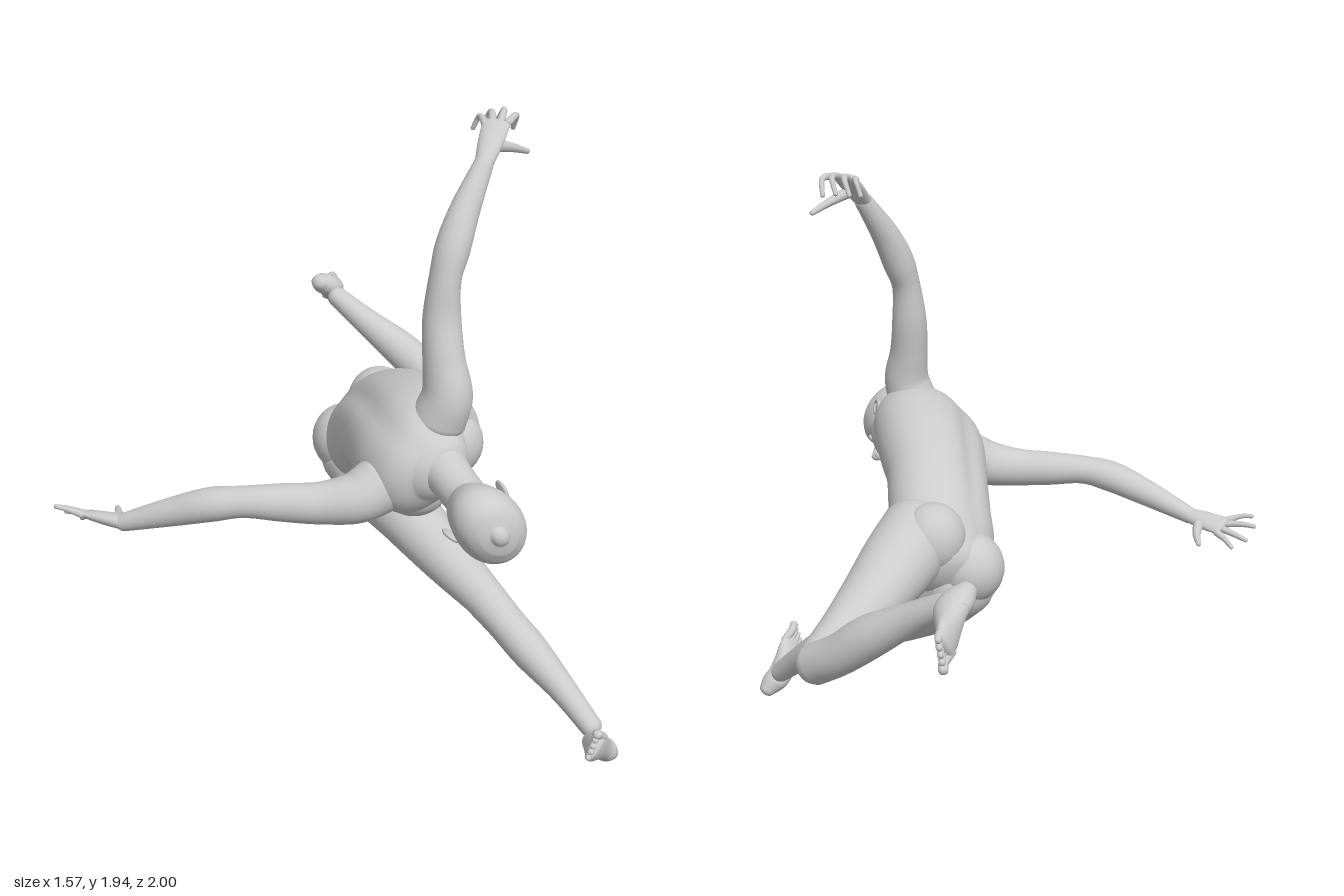
import * as THREE from 'three';

const mat = new THREE.MeshStandardMaterial({ color: 0xcccccc, roughness: 0.8 });
const V = (p) => new THREE.Vector3(...p);
const lerp = (a, b, t) => a.map((v, i) => v + (b[i] - v) * t);
const bump = (x, c, s) => Math.exp(-(((x - c) / s) ** 2));

// Smooth body through oval sections [x, y, z, halfWidth, halfDepth], rounded at both ends.
// across = width direction; shape(u, angle) scales the radius (angle -PI/2 front, PI/2 back).
function loft(name, sections, across, { seg = 28, steps = 8, cap = 0.7, shape = () => 1 } = {}) {
  const path = new THREE.CatmullRomCurve3(sections.map((s) => V(s)));
  const size = new THREE.CatmullRomCurve3(
    sections.map((s) => new THREE.Vector3(s[3], s[4] ?? s[3], 0)), false, 'catmullrom', 0.5);
  const n = (sections.length - 1) * steps;
  const rings = [];
  const capAngles = [0.05, 0.35, 0.7, 1.1];
  capAngles.forEach((f) => rings.push([0, -Math.cos(f), Math.sin(f)]));
  for (let i = 0; i <= n; i++) rings.push([i / n, 0, 1]);
  capAngles.slice().reverse().forEach((f) => rings.push([1, Math.cos(f), Math.sin(f)]));
  const pos = [], index = [];
  rings.forEach(([u, off, k], i) => {
    const c = path.getPoint(u), r = size.getPoint(u), T = path.getTangent(u);
    const W = V(across).addScaledVector(T, -V(across).dot(T)).normalize();
    const N = T.clone().cross(W);
    c.addScaledVector(T, off * cap * Math.min(r.x, r.y));
    for (let j = 0; j < seg; j++) {
      const a = (j / seg) * 2 * Math.PI - Math.PI, s = k * shape(u, a);
      const p = c.clone().addScaledVector(W, Math.cos(a) * r.x * s).addScaledVector(N, Math.sin(a) * r.y * s);
      pos.push(p.x, p.y, p.z);
      if (i === 0) continue;
      const j2 = (j + 1) % seg, A = (i - 1) * seg, B = i * seg;
      index.push(A + j, A + j2, B + j2, A + j, B + j2, B + j);
    }
  });
  // close the two tips
  const last = (rings.length - 1) * seg;
  for (let j = 1; j < seg - 1; j++) index.push(0, j + 1, j, last, last + j, last + j + 1);
  const g = new THREE.BufferGeometry();
  g.setAttribute('position', new THREE.Float32BufferAttribute(pos, 3));
  g.setIndex(index);
  g.computeVertexNormals();
  const m = new THREE.Mesh(g, mat);
  m.name = name;
  return m;
}

function blob(name, p, scale) {
  const m = new THREE.Mesh(new THREE.SphereGeometry(1, 28, 18), mat);
  m.name = name;
  m.position.set(...p);
  m.scale.set(...scale);
  return m;
}

// Group whose local y is up, z is forward and x is left
function framed(name, origin, up, forward) {
  const Z = V(forward).normalize();
  const X = V(up).cross(Z).normalize();
  const g = new THREE.Group();
  g.name = name;
  g.applyMatrix4(new THREE.Matrix4().makeBasis(X, Z.clone().cross(X), Z).setPosition(...origin));
  return g;
}

function foot(name, heel, up, forward, big) {
  const g = framed(name, heel, up, forward);
  g.add(loft('footBody', [[0, 0.04, 0.015, 0.026, 0.03], [0, 0.047, 0.045, 0.036, 0.045],
    [0, 0.057, 0.08, 0.036, 0.052], [0, 0.045, 0.13, 0.04, 0.04],
    [0, 0.028, 0.18, 0.049, 0.026], [0, 0.02, 0.215, 0.046, 0.018]], [1, 0, 0]));
  for (let i = 0; i < 5; i++) {
    const x = big * (0.036 - i * 0.0185), r = i ? 0.0095 : 0.014, end = 0.268 - i * 0.009;
    g.add(loft('toe', [[x, 0.02, 0.2, r], [x, 0.025, end - 0.025, r], [x, 0.015, end, r]],
      [1, 0, 0], { seg: 10, steps: 4 }));
  }
  return g;
}

// fingers: [middle joint, tip] from index to little; thumb: three joints
function hand(name, wrist, indexKnuckle, littleKnuckle, fingers, thumb) {
  const g = new THREE.Group();
  g.name = name;
  const across = indexKnuckle.map((v, i) => v - littleKnuckle[i]);
  const mid = lerp(indexKnuckle, littleKnuckle, 0.5);
  g.add(loft('palm', [[...wrist, 0.027, 0.022], [...lerp(wrist, mid, 0.5), 0.036, 0.02], [...mid, 0.04, 0.014]], across));
  fingers.forEach(([m, t], i) => {
    const k = lerp(indexKnuckle, littleKnuckle, i / 3), r = i === 3 ? 0.008 : 0.0095;
    g.add(loft('finger', [[...k, 0.012], [...m, r], [...t, 0.007]], across, { seg: 10, steps: 6 }));
  });
  g.add(loft('thumb', [[...thumb[0], 0.018], [...thumb[1], 0.013], [...thumb[2], 0.008]], [0.1, 0.2, 1], { seg: 12 }));
  return g;
}

function head() {
  const g = framed('head', [0.25, 0.975, 0.868], [0.02, 0.03, 1], [0.6, -0.78, 0.03]);
  // skull with eye sockets, brow and cheek hollows
  const shape = (u, a) => {
    const f = Math.abs(a + Math.PI / 2);
    return 1 - 0.1 * bump(u, 0.45, 0.045) * bump(f, 0.4, 0.22) + 0.025 * bump(u, 0.54, 0.04) * bump(f, 0.25, 0.4)
      - 0.04 * bump(u, 0.28, 0.07) * bump(f, 0.8, 0.25);
  };
  g.add(loft('skull', [[0, -0.15, 0.088, 0.026, 0.022], [0, -0.135, 0.075, 0.046, 0.042],
    [0, -0.095, 0.045, 0.068, 0.075], [0, -0.05, 0.015, 0.082, 0.103], [0, 0, 0, 0.09, 0.118],
    [0, 0.05, -0.008, 0.095, 0.122], [0, 0.09, -0.01, 0.08, 0.1], [0, 0.112, -0.01, 0.055, 0.068],
    [0, 0.122, -0.01, 0.025, 0.03]], [1, 0, 0], { seg: 64, shape }));
  g.add(loft('nose', [[0, -0.015, 0.108, 0.009, 0.009], [0, -0.045, 0.122, 0.011, 0.012],
    [0, -0.068, 0.13, 0.016, 0.014]], [1, 0, 0], { seg: 16 }));
  g.add(blob('upperLip', [0, -0.095, 0.113], [0.024, 0.007, 0.012]));
  g.add(blob('lowerLip', [0, -0.108, 0.112], [0.02, 0.007, 0.012]));
  for (const s of [1, -1]) {
    g.add(blob('eye', [s * 0.037, -0.028, 0.089], [0.015, 0.009, 0.012]));
    const ear = new THREE.Group();
    ear.name = 'ear';
    const rim = new THREE.Mesh(new THREE.TorusGeometry(0.021, 0.006, 10, 24), mat);
    rim.name = 'earRim';
    rim.scale.y = 1.4;
    ear.add(rim, blob('earBowl', [0, -0.004, -0.003], [0.019, 0.027, 0.006]));
    ear.position.set(s * 0.094, -0.035, -0.012);
    ear.rotation.y = s * 1.2;
    g.add(ear);
  }
  return g;
}

export function createModel() {
  const body = new THREE.Group();
  body.name = 'figure';
  const left = [0.67, 0.74, 0];

  // torso with spine groove, breastbone line and belly line
  const torsoShape = (u, a) => 1 - 0.09 * bump(a, Math.PI / 2, 0.2) * bump(u, 0.5, 0.35)
    - 0.04 * bump(a, -Math.PI / 2, 0.15) + 0.04 * bump(Math.abs(a + Math.PI / 2), 0.6, 0.35) * bump(u, 0.82, 0.1);
  body.add(loft('torso', [[0.235, 0.81, -0.09, 0.13, 0.11], [0.24, 0.86, 0, 0.17, 0.14],
    [0.235, 0.93, 0.1, 0.172, 0.145], [0.22, 0.985, 0.22, 0.175, 0.145], [0.21, 1.015, 0.35, 0.19, 0.155],
    [0.2, 1.03, 0.48, 0.2, 0.155], [0.2, 1.03, 0.57, 0.18, 0.135], [0.215, 1.03, 0.63, 0.1, 0.085]],
  left, { seg: 56, shape: torsoShape, cap: 0.5 }));
  body.add(loft('neck', [[0.21, 1.035, 0.57, 0.1, 0.09], [0.225, 1.02, 0.66, 0.068, 0.068],
    [0.24, 0.995, 0.74, 0.062, 0.065], [0.25, 0.98, 0.82, 0.06, 0.065]], left));
  body.add(head());
  // chest and seat muscles
  body.add(blob('rightPectoral', [0.18, 0.925, 0.53], [0.1, 0.085, 0.08]));
  body.add(blob('leftPectoral', [0.285, 1.05, 0.53], [0.095, 0.1, 0.08]));
  body.add(blob('rightButtock', [0.175, 0.81, -0.07], [0.105, 0.11, 0.11]));
  body.add(blob('leftButtock', [0.29, 0.92, -0.08], [0.1, 0.11, 0.1]));

  // raised left arm
  body.add(loft('leftArm', [[0.235, 1.14, 0.55, 0.08, 0.08], [0.255, 1.22, 0.56, 0.072, 0.078],
    [0.25, 1.32, 0.54, 0.06, 0.066], [0.25, 1.43, 0.515, 0.055, 0.055], [0.26, 1.55, 0.505, 0.045, 0.05],
    [0.285, 1.63, 0.49, 0.05, 0.052], [0.325, 1.72, 0.465, 0.044, 0.042], [0.4, 1.845, 0.42, 0.028, 0.026]], [1, 0, 0]));
  body.add(hand('leftHand', [0.4, 1.845, 0.42], [0.49, 1.935, 0.365], [0.435, 1.93, 0.335],
    [[[0.535, 1.94, 0.32], [0.54, 1.895, 0.29]], [[0.51, 1.95, 0.29], [0.505, 1.905, 0.255]],
      [[0.475, 1.945, 0.28], [0.465, 1.9, 0.25]], [[0.44, 1.935, 0.28], [0.43, 1.895, 0.26]]],
    [[0.45, 1.88, 0.39], [0.51, 1.86, 0.36], [0.57, 1.835, 0.33]]));

  // right arm stretched sideways
  body.add(loft('rightArm', [[0.07, 0.95, 0.53, 0.085, 0.085], [0, 0.92, 0.53, 0.075, 0.078],
    [-0.1, 0.905, 0.505, 0.062, 0.06], [-0.2, 0.905, 0.47, 0.056, 0.054], [-0.31, 0.905, 0.43, 0.046, 0.048],
    [-0.39, 0.89, 0.39, 0.05, 0.052], [-0.49, 0.85, 0.325, 0.043, 0.042], [-0.62, 0.79, 0.235, 0.027, 0.027]], [0, 1, 0]));
  body.add(hand('rightHand', [-0.62, 0.79, 0.235], [-0.675, 0.77, 0.125], [-0.725, 0.795, 0.16],
    [[[-0.695, 0.755, 0.095], [-0.71, 0.735, 0.07]], [[-0.725, 0.77, 0.095], [-0.755, 0.76, 0.06]],
      [[-0.755, 0.795, 0.115], [-0.79, 0.795, 0.085]], [[-0.765, 0.81, 0.145], [-0.795, 0.815, 0.125]]],
    [[-0.635, 0.78, 0.19], [-0.61, 0.765, 0.13], [-0.6, 0.755, 0.075]]));

  // left leg kicked back
  body.add(loft('leftThigh', [[0.32, 0.91, -0.01, 0.12, 0.125], [0.4, 0.87, -0.12, 0.115, 0.12],
    [0.49, 0.82, -0.23, 0.098, 0.105], [0.6, 0.76, -0.35, 0.08, 0.08], [0.69, 0.715, -0.435, 0.066, 0.062]], [0.5, 0.8, 0]));
  body.add(loft('leftShin', [[0.7, 0.715, -0.44, 0.062, 0.06], [0.64, 0.77, -0.51, 0.06, 0.062],
    [0.56, 0.85, -0.58, 0.062, 0.064], [0.46, 0.935, -0.67, 0.046, 0.046], [0.375, 1.01, -0.76, 0.033, 0.038]], [0.5, 0.8, 0]));
  body.add(foot('leftFoot', [0.285, 1.07, -0.8], [0.75, -0.2, 0.55], [0.14, -0.11, -0.19], -1));

  // right leg reaching forward to the ground
  body.add(loft('rightThigh', [[0.2, 0.77, -0.06, 0.115, 0.115], [0.255, 0.685, 0.03, 0.115, 0.118],
    [0.32, 0.605, 0.13, 0.1, 0.108], [0.4, 0.51, 0.26, 0.084, 0.088], [0.475, 0.425, 0.37, 0.066, 0.068]], [0.7, 0.7, 0]));
  body.add(loft('rightShin', [[0.475, 0.425, 0.37, 0.066, 0.068], [0.525, 0.36, 0.45, 0.06, 0.066],
    [0.575, 0.295, 0.53, 0.059, 0.066], [0.64, 0.21, 0.64, 0.043, 0.046], [0.695, 0.125, 0.735, 0.034, 0.038]], [0.7, 0.7, 0]));
  body.add(foot('rightFoot', [0.775, 0.03, 0.79], [-0.55, 0.25, -0.7], [-0.17, 0.17, 0.14], 1));
  return body;
}
